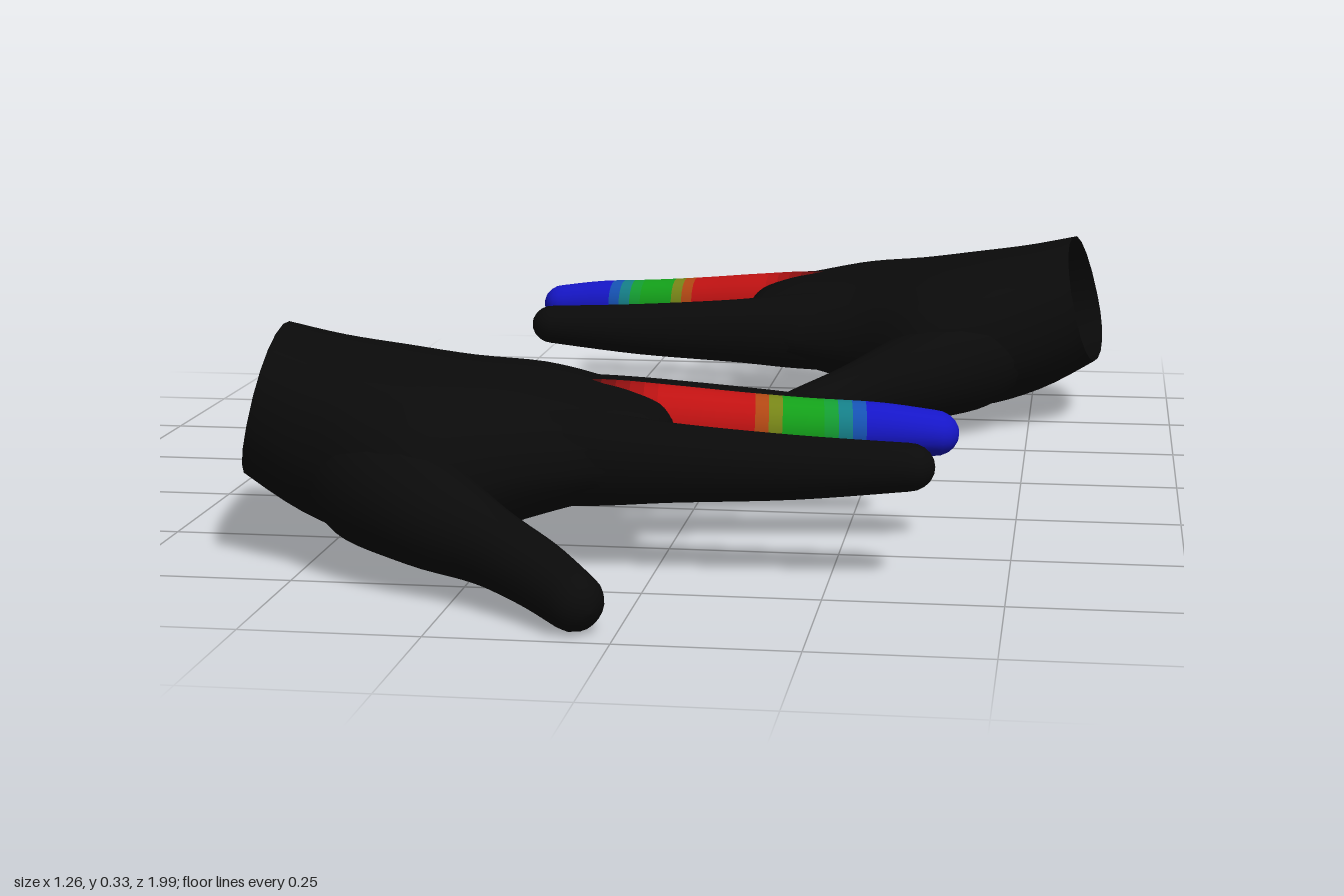
import * as THREE from 'three';

const SIDES = 20;
const material = (color) =>
  new THREE.MeshStandardMaterial({ color, side: THREE.DoubleSide });

// Smoothly interpolate rows of numbers, `steps` samples per interval
function smoothRows(rows, steps) {
  const out = [];
  const last = rows.length - 1;
  for (let i = 0; i < last; i++) {
    const [a, b, c, d] = [i - 1, i, i + 1, i + 2].map((k) => rows[Math.min(last, Math.max(0, k))]);
    for (let s = 0; s < steps; s++) {
      const t = s / steps;
      out.push(b.map((v, k) => {
        const m0 = (c[k] - a[k]) / 2, m1 = (d[k] - v) / 2;
        return (2 * t ** 3 - 3 * t * t + 1) * v + (t ** 3 - 2 * t * t + t) * m0
          + (3 * t * t - 2 * t ** 3) * c[k] + (t ** 3 - t * t) * m1;
      }));
    }
  }
  out.push(rows[last]);
  return out;
}

// Skin a list of rings; a mirrored skin has its x and its winding flipped
function skin(rings, mirrored) {
  const positions = [], index = [];
  for (const ring of rings) {
    for (const p of ring) positions.push(mirrored ? -p.x : p.x, p.y, p.z);
  }
  for (let i = 0; i < rings.length - 1; i++) {
    for (let j = 0; j < SIDES; j++) {
      const a = i * SIDES + j, b = i * SIDES + (j + 1) % SIDES;
      const c = a + SIDES, d = b + SIDES;
      if (mirrored) index.push(a, b, c, b, d, c);
      else index.push(a, c, b, b, c, d);
    }
  }
  const geometry = new THREE.BufferGeometry();
  geometry.setAttribute('position', new THREE.Float32BufferAttribute(positions, 3));
  geometry.setIndex(index);
  geometry.computeVertexNormals();
  return geometry;
}

// Elliptical rings along a finger, rows: x, y, z, half width, half height
function fingerRings(rows) {
  const samples = smoothRows(rows, 5);
  const centres = samples.map((r) => new THREE.Vector3(r[0], r[1], r[2]));
  const up = new THREE.Vector3(0, 1, 0);
  const rings = [];
  const addRing = (centre, dir, hw, hh) => {
    const side = new THREE.Vector3().crossVectors(dir, up).normalize();
    const rise = new THREE.Vector3().crossVectors(side, dir).normalize();
    rings.push(Array.from({ length: SIDES }, (_, j) => {
      const a = (j / SIDES) * Math.PI * 2;
      return centre.clone().addScaledVector(side, Math.cos(a) * hw)
        .addScaledVector(rise, Math.sin(a) * hh);
    }));
  };
  const end = samples.length - 1;
  let dir;
  samples.forEach((r, i) => {
    dir = centres[Math.min(end, i + 1)].clone().sub(centres[Math.max(0, i - 1)]).normalize();
    addRing(centres[i], dir, r[3], r[4]);
  });
  // rounded fingertip
  const [, , , hw, hh] = samples[end];
  for (let k = 1; k <= 5; k++) {
    const a = (k / 5) * Math.PI / 2;
    const s = k === 5 ? 0 : Math.cos(a);
    addRing(centres[end].clone().addScaledVector(dir, Math.sin(a) * hw), dir, hw * s, hh * s);
  }
  return rings;
}

// Palm sections: x, little-finger edge z and y, thumb edge z and y, top y, bottom y
const PALM = [
  [-0.595, 0.36, 0.2, 0.68, 0.21, 0.33, 0.11],
  [-0.5, 0.345, 0.185, 0.72, 0.175, 0.313, 0.06],
  [-0.4, 0.305, 0.17, 0.765, 0.145, 0.298, 0.03],
  [-0.3, 0.28, 0.16, 0.78, 0.13, 0.283, 0.03],
  [-0.2, 0.262, 0.16, 0.715, 0.15, 0.268, 0.055],
  [-0.12, 0.31, 0.165, 0.69, 0.155, 0.255, 0.08],
  [-0.06, 0.37, 0.175, 0.683, 0.16, 0.245, 0.095],
  [-0.01, 0.43, 0.18, 0.67, 0.165, 0.228, 0.11],
  [0.01, 0.47, 0.18, 0.64, 0.175, 0.205, 0.145],
];

function palmRings() {
  const rings = smoothRows(PALM, 4).map(([x, zA, yA, zB, yB, top, bottom]) =>
    Array.from({ length: SIDES }, (_, j) => {
      const a = (j / SIDES) * Math.PI * 2;
      const c = Math.sign(Math.cos(a)) * Math.abs(Math.cos(a)) ** 0.9;
      const s = Math.abs(Math.sin(a)) ** 0.9;
      const z = (zA + zB) / 2 + c * (zB - zA) / 2;
      const edge = THREE.MathUtils.lerp(yA, yB, (c + 1) / 2);
      const y = THREE.MathUtils.lerp(edge, Math.sin(a) >= 0 ? top : bottom, s);
      // the cuff is cut at a slant
      const slant = THREE.MathUtils.clamp((-0.3 - x) / 0.295, 0, 1);
      return new THREE.Vector3(x + slant * (0.23 * (y - 0.22) + 0.11 * (z - 0.52)), y, z);
    }));
  const tip = new THREE.Vector3(0.015, 0.175, 0.555);
  rings.push(Array.from({ length: SIDES }, () => tip.clone()));
  return rings;
}

const FINGERS = {
  thumb: [
    [-0.47, 0.15, 0.6, 0.07, 0.06], [-0.4, 0.135, 0.675, 0.09, 0.09],
    [-0.3, 0.11, 0.757, 0.08, 0.077], [-0.2, 0.085, 0.825, 0.055, 0.056],
    [-0.12, 0.064, 0.885, 0.048, 0.047], [-0.058, 0.045, 0.946, 0.041, 0.041],
  ],
  indexFinger: [
    [-0.2, 0.165, 0.61, 0.06, 0.075], [-0.08, 0.165, 0.625, 0.058, 0.068],
    [0.03, 0.165, 0.638, 0.047, 0.057], [0.2, 0.165, 0.643, 0.041, 0.046],
    [0.36, 0.17, 0.642, 0.037, 0.034],
  ],
  ringFinger: [
    [-0.22, 0.18, 0.4, 0.06, 0.065], [-0.1, 0.178, 0.366, 0.054, 0.058],
    [0, 0.172, 0.327, 0.047, 0.05], [0.15, 0.16, 0.284, 0.039, 0.041],
    [0.3, 0.145, 0.265, 0.035, 0.034],
  ],
  littleFinger: [
    [-0.24, 0.17, 0.345, 0.06, 0.06], [-0.16, 0.162, 0.283, 0.055, 0.053],
    [-0.09, 0.152, 0.227, 0.045, 0.045], [0, 0.138, 0.165, 0.037, 0.037],
    [0.095, 0.128, 0.117, 0.031, 0.03],
  ],
};
const MIDDLE = [
  [-0.2, 0.19, 0.5, 0.055, 0.06], [-0.1, 0.194, 0.493, 0.056, 0.06],
  [0, 0.19, 0.482, 0.05, 0.056], [0.1, 0.184, 0.465, 0.046, 0.051],
  [0.2, 0.18, 0.45, 0.042, 0.046], [0.3, 0.178, 0.434, 0.04, 0.041],
  [0.382, 0.173, 0.421, 0.037, 0.034],
];

// Colour stops along the middle finger
const BLACK = 0x0a0a0a, RED = 0xc01212, GREEN = 0x14a01a, BLUE = 0x1616c8;
const STOPS = [[-0.12, BLACK], [-0.01, RED], [0.13, RED], [0.17, GREEN],
  [0.235, GREEN], [0.29, BLUE], [0.5, BLUE]];
function colorAt(x) {
  const i = STOPS.findIndex(([sx]) => sx > x);
  if (i <= 0) return new THREE.Color(BLACK);
  const [[x0, c0], [x1, c1]] = [STOPS[i - 1], STOPS[i]];
  return new THREE.Color(c0).lerp(new THREE.Color(c1), (x - x0) / (x1 - x0));
}

function createGlove(name, mirrored) {
  const glove = new THREE.Group();
  glove.name = name;
  const black = material(BLACK);
  const add = (part, geometry, mat, parent = glove) => {
    const mesh = new THREE.Mesh(geometry, mat);
    mesh.name = part;
    parent.add(mesh);
  };
  add('palm', skin(palmRings(), mirrored), black);
  for (const [part, rows] of Object.entries(FINGERS)) {
    add(part, skin(fingerRings(rows), mirrored), black);
  }

  // middle finger, cut into colour bands that share smooth normals
  const middle = new THREE.Group();
  middle.name = 'middleFinger';
  const rings = fingerRings(MIDDLE);
  const whole = skin(rings, mirrored);
  const indices = Array.from(whole.index.array);
  const perBand = SIDES * 6;
  for (let i = 0; i < rings.length - 1; i++) {
    const band = whole.clone();
    band.setIndex(indices.slice(i * perBand, (i + 1) * perBand));
    const x = (rings[i][0].x + rings[i + 1][0].x) / 2;
    add('middleFingerBand', band, material(colorAt(x)), middle);
  }
  glove.add(middle);
  return glove;
}

export function createModel() {
  const model = new THREE.Group();
  model.name = 'pairOfGloves';
  const front = createGlove('frontGlove', false);
  const back = createGlove('backGlove', true);
  back.position.z = -1.09;
  model.add(front, back);
  return model;
}
